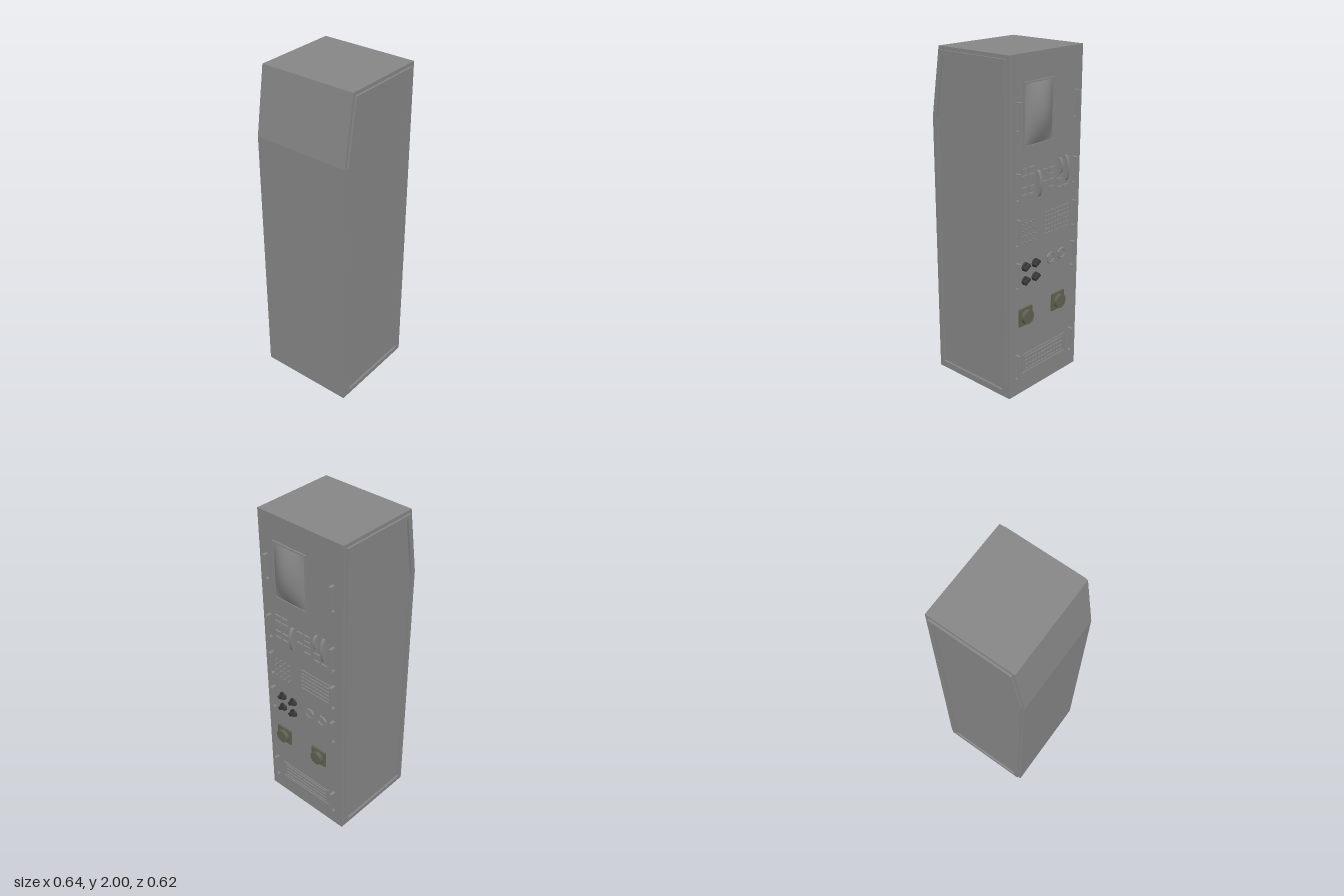
import * as THREE from 'three';

const FACE = 0.27; // x of the control face

export function createModel() {
  const root = new THREE.Group();
  root.name = 'controlCabinet';
  const grey = new THREE.MeshStandardMaterial({ color: 0x868686 });
  const thin = new THREE.MeshStandardMaterial({ color: 0x868686, side: THREE.DoubleSide });
  const dark = new THREE.MeshStandardMaterial({ color: 0x383838 });
  const olive = new THREE.MeshStandardMaterial({ color: 0x606052 });

  const add = (name, geo, x, y, z, mat = grey, parent = root) => {
    const m = new THREE.Mesh(geo, mat);
    m.name = name;
    m.position.set(x, y, z);
    parent.add(m);
    return m;
  };
  // Box standing on the control face
  const block = (name, d, h, w, y, z, mat = grey) =>
    add(name, new THREE.BoxGeometry(d, h, w), FACE + d / 2, y, z, mat);
  // Cylinder whose axis points out of the control face
  const disc = (r0, r1, d, n) => new THREE.CylinderGeometry(r1, r0, d, n).rotateZ(-Math.PI / 2);
  const poly = (pts) => new THREE.Shape(pts.map(([x, y]) => new THREE.Vector2(x, y)));
  const extrude = (shape, depth) =>
    new THREE.ExtrudeGeometry(shape, { depth, bevelEnabled: false, curveSegments: 10 });

  // Cabinet body with sloped upper back
  add('cabinetBody', extrude(poly([[-0.32, 0], [FACE, 0], [FACE, 2], [-0.255, 2], [-0.32, 1.6]]), 0.6), 0, 0, -0.3);

  // Raised rims on both side walls
  const rim = poly([[-0.303, 0.02], [0.25, 0.02], [0.25, 1.98], [-0.24, 1.98], [-0.303, 1.6]]);
  rim.holes.push(poly([[-0.275, 0.05], [-0.275, 1.6], [-0.217, 1.955], [0.222, 1.955], [0.222, 0.05]]));
  for (const z of [0.3, -0.312]) add('sideRim', extrude(rim, 0.012), 0, 0, z);

  // Bulged screen and its frame
  const sw = 0.225, sh = 0.335, sy = 1.675, sz = 0.073;
  const screen = new THREE.PlaneGeometry(sw, sh, 16, 16).rotateY(Math.PI / 2);
  const p = screen.attributes.position;
  for (let i = 0; i < p.count; i++) {
    const u = p.getZ(i) / (sw / 2), v = p.getY(i) / (sh / 2);
    p.setX(i, 0.004 + 0.044 * (1 - u * u) * (1 - v * v));
  }
  screen.computeVertexNormals();
  add('screen', screen, FACE, sy, sz);
  for (const s of [-1, 1]) {
    block('screenFrame', 0.01, sh + 0.016, 0.008, sy, sz + s * (sw / 2 + 0.004));
    block('screenFrame', 0.01, 0.008, sw, sy + s * (sh / 2 + 0.004), sz);
  }

  // Pairs of rack handles
  for (const y of [1.675, 1.288, 1.025, 0.768, 0.19]) {
    for (const z of [0.243, -0.236]) {
      const handle = new THREE.Group();
      handle.name = 'handle';
      handle.position.set(FACE, y, z);
      root.add(handle);
      add('handleBar', new THREE.BoxGeometry(0.007, 0.16, 0.018), 0.0285, 0, 0, grey, handle);
      for (const s of [-1, 1])
        add('handlePost', new THREE.BoxGeometry(0.025, 0.007, 0.018), 0.0125, s * 0.0765, 0, grey, handle);
    }
  }

  // Rectangular push buttons: column z, then row heights
  const keys = [
    [0.182, [1.37, 1.33, 1.263, 1.221]],
    [0.127, [1.37, 1.33, 1.263, 1.221]],
    [0.013, [1.333, 1.263]],
    [-0.042, [1.333, 1.298, 1.263, 1.221]],
    [-0.114, [1.25, 1.202]],
    [-0.168, [1.202]],
  ];
  for (const [z, rows] of keys) for (const y of rows) block('pushButton', 0.01, 0.027, 0.042, y, z);

  // Arched thumb wheels
  for (const [z, y, h, w] of [[0.069, 1.272, 0.154, 0.022], [-0.112, 1.338, 0.096, 0.014], [-0.168, 1.312, 0.154, 0.018]]) {
    const arch = new THREE.Shape();
    arch.absellipse(0, 0, 0.028, h / 2, -Math.PI / 2, Math.PI / 2, false, 0);
    add('thumbWheel', extrude(arch, w), FACE, y, z - w / 2);
  }

  // Field of small toggle pins
  for (let i = 0; i < 4; i++)
    for (let j = 0; j < 4; j++)
      add('togglePin', disc(0.004, 0.004, 0.024, 6), FACE + 0.012, 0.955 + i * 0.038, 0.106 + j * 0.034);

  // Grilles made of thin upright fins
  const grille = (y, z, h, w, rows, cols) => {
    const g = new THREE.Group();
    g.name = 'grille';
    g.position.set(FACE + 0.003, y, z);
    root.add(g);
    for (let i = 0; i <= rows; i++)
      add('grilleFin', new THREE.PlaneGeometry(0.006, w).rotateX(Math.PI / 2), 0, (i / rows - 0.5) * h, 0, thin, g);
    for (let j = 0; j <= cols; j++)
      add('grilleFin', new THREE.PlaneGeometry(0.006, h), 0, 0, (j / cols - 0.5) * w, thin, g);
  };
  grille(1.025, -0.098, 0.13, 0.22, 5, 8);
  grille(0.19, 0, 0.12, 0.39, 1, 1);
  grille(0.19, 0, 0.08, 0.34, 3, 12);

  // Rotary knobs with a raised grip
  for (const y of [0.805, 0.72]) {
    for (const z of [0.172, 0.087]) {
      add('knobBase', disc(0.027, 0.025, 0.01, 12), FACE + 0.005, y, z, dark);
      const grip = add('knobGrip', new THREE.BoxGeometry(0.018, 0.02, 0.046), FACE + 0.018, y, z, dark);
      grip.rotation.x = 0.5;
    }
  }

  // Octagonal sockets
  for (const z of [-0.048, -0.146]) {
    const ring = new THREE.Shape();
    const hole = new THREE.Path();
    for (let i = 0; i < 8; i++) {
      const a = (i + 0.5) * Math.PI / 4, f = i ? 'lineTo' : 'moveTo';
      ring[f](Math.cos(a) * 0.036, Math.sin(a) * 0.036);
      hole[f](Math.cos(a) * 0.026, Math.sin(a) * 0.026);
    }
    ring.holes.push(hole);
    add('socketRing', extrude(ring, 0.012).rotateY(Math.PI / 2), FACE, 0.795, z);
    add('socketCore', disc(0.02, 0.02, 0.008, 8), FACE + 0.004, 0.795, z);
  }

  // Large round buttons on square plates
  for (const z of [0.17, -0.116]) {
    block('buttonPlate', 0.012, 0.108, 0.108, 0.498, z, olive);
    add('roundButton', disc(0.042, 0.042, 0.025, 24), FACE + 0.0225, 0.498, z, olive);
  }

  return root;
}
